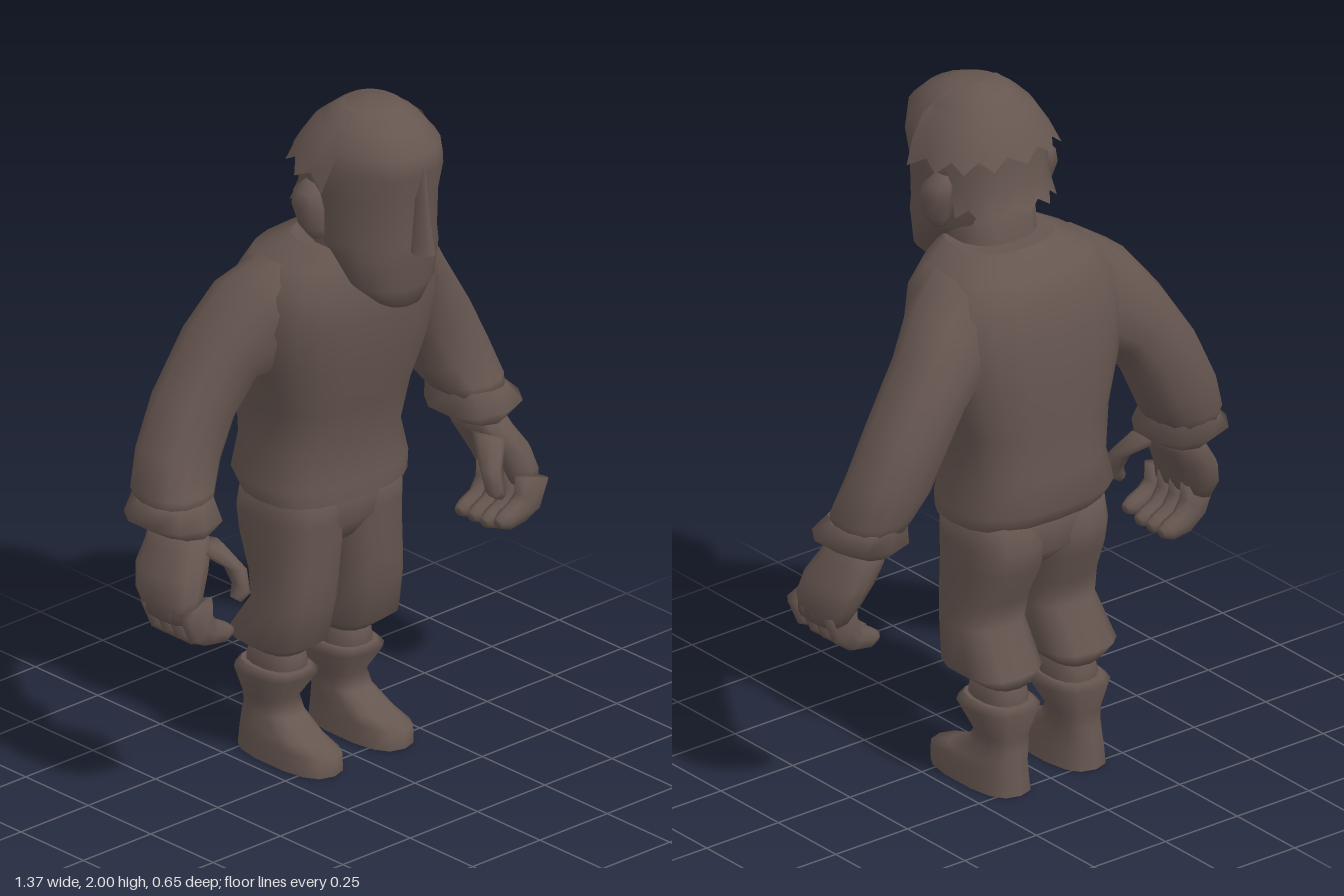
import * as THREE from 'three';

const cloth = new THREE.MeshStandardMaterial({ color: 0x665650, side: THREE.DoubleSide });
cloth.name = 'dark brown';

// Skin over rings listed base first: [outerX, outerY, innerX, innerY, zFront, zBack, frontLift]
function skin(name, rings, o = {}) {
  const { sides = 14, power = 0.85, taper = 0, arc = null, jag = 0, crisp = false } = o;
  const cols = arc ? sides + 1 : sides;
  const pos = [], idx = [];
  const curve = (v) => Math.sign(v) * Math.pow(Math.abs(v), power);
  rings.forEach(([xo, yo, xi, yi, zf, zb, lift = 0], i) => {
    for (let j = 0; j < cols; j++) {
      const t = arc ? arc[0] + ((arc[1] - arc[0]) * j) / sides : (j / sides) * Math.PI * 2;
      const v = curve(Math.cos(t));
      const u = curve(Math.sin(t)) * (1 - taper * Math.max(0, v));
      const tooth = i === 0 && j % 2 ? jag : 0;
      const k = 1 - tooth * 3;
      pos.push((xo + xi) / 2 + ((xo - xi) / 2) * u * k,
        (yo + yi) / 2 + ((yo - yi) / 2) * u + lift * v + tooth,
        (zf + zb) / 2 + ((zf - zb) / 2) * v * k);
    }
  });
  for (let i = 0; i < rings.length - 1; i++) {
    for (let j = 0; j < sides; j++) {
      const a = i * cols + j, b = i * cols + ((j + 1) % cols);
      idx.push(a, b, b + cols, a, b + cols, a + cols);
    }
  }
  // closed ends
  if (!arc) {
    [0, rings.length - 1].forEach((r, end) => {
      const [xo, yo, xi, yi, zf, zb] = rings[r];
      let base = r * cols;
      if (crisp) {
        const copy = pos.slice(base * 3, (base + cols) * 3);
        base = pos.length / 3;
        pos.push(...copy);
      }
      const c = pos.length / 3;
      pos.push((xo + xi) / 2, (yo + yi) / 2, (zf + zb) / 2);
      for (let j = 0; j < sides; j++) {
        const a = base + j, b = base + ((j + 1) % cols);
        if (end) idx.push(a, b, c); else idx.push(b, a, c);
      }
    });
  }
  const g = new THREE.BufferGeometry();
  g.setAttribute('position', new THREE.Float32BufferAttribute(pos, 3));
  g.setIndex(idx);
  g.computeVertexNormals();
  const mesh = new THREE.Mesh(g, cloth);
  mesh.name = name;
  return mesh;
}

// Symmetric ring from height, half width and depth range
const level = (y, w, zf, zb, lift = 0) => [w, y, -w, y, zf, zb, lift];
// Ring between two x values at one height
const across = (y, xo, xi, zf, zb, lift = 0) => [xo, y, xi, y, zf, zb, lift];
const flip = (rings) => rings.map(([xo, yo, xi, yi, ...rest]) => [-xi, yi, -xo, yo, ...rest]);

export function createModel() {
  const model = new THREE.Group();
  model.name = 'figure';

  // Shirt and pelvis
  model.add(skin('shirt', [
    level(0.80, 0.24, 0.055, -0.285), level(0.85, 0.25, 0.055, -0.32),
    level(0.95, 0.225, 0.045, -0.31), level(1.08, 0.24, 0.075, -0.31),
    level(1.22, 0.285, 0.11, -0.31), level(1.36, 0.31, 0.13, -0.30),
    level(1.46, 0.29, 0.13, -0.275), level(1.53, 0.24, 0.11, -0.24),
    level(1.575, 0.15, 0.1, -0.15),
  ], { sides: 20, power: 0.75, crisp: true }));
  model.add(skin('pelvis', [
    level(0.65, 0.13, -0.02, -0.22), level(0.71, 0.215, 0.02, -0.28), level(0.84, 0.22, 0.035, -0.28),
  ], { sides: 16, power: 0.75 }));

  // Neck and head
  model.add(skin('neck', [
    level(1.45, 0.15, 0.12, -0.14), level(1.58, 0.125, 0.13, -0.1), level(1.72, 0.125, 0.15, -0.09),
  ]));
  model.add(skin('head', [
    level(1.445, 0.075, 0.235, 0.14, -0.012), level(1.50, 0.135, 0.25, 0.08, -0.01),
    level(1.59, 0.16, 0.265, 0.0), level(1.63, 0.165, 0.268, -0.07),
    level(1.76, 0.175, 0.272, -0.11), level(1.84, 0.185, 0.288, -0.115),
    level(1.90, 0.165, 0.288, -0.09), level(1.955, 0.125, 0.23, -0.055),
    level(1.99, 0.075, 0.15, 0.0),
  ], { sides: 20, power: 0.82, taper: 0.2 }));
  model.add(skin('nose', [
    level(1.61, 0.034, 0.328, 0.24), level(1.64, 0.03, 0.322, 0.24),
    level(1.75, 0.02, 0.304, 0.24), level(1.86, 0.016, 0.292, 0.24),
  ], { sides: 8, taper: 0.4, crisp: true }));

  // Ragged hair: a crown tier over a nape tier
  const back = [Math.PI * 0.46, Math.PI * 1.54];
  model.add(skin('hairCrown', [
    level(1.795, 0.218, 0.29, -0.15, -0.03), level(1.86, 0.19, 0.29, -0.125, -0.01),
    level(1.93, 0.15, 0.26, -0.085), level(1.985, 0.085, 0.17, -0.015),
    level(2.0, 0.02, 0.1, 0.05),
  ], { sides: 16, arc: back, jag: 0.03 }));
  model.add(skin('hairNape', [
    level(1.665, 0.18, 0.24, -0.16, -0.015), level(1.74, 0.175, 0.25, -0.125),
    level(1.83, 0.18, 0.27, -0.12),
  ], { sides: 12, arc: [Math.PI * 0.62, Math.PI * 1.38], jag: 0.025 }));

  // Limbs and ears, left then mirrored to the right
  for (const side of ['left', 'right']) {
    const add = (part, rings, o) =>
      model.add(skin(side + part, side === 'left' ? rings : flip(rings), o));

    add('Ear', [
      across(1.625, 0.185, 0.14, 0.06, 0.01), across(1.66, 0.21, 0.14, 0.07, -0.01),
      across(1.72, 0.222, 0.14, 0.075, -0.03), across(1.76, 0.212, 0.14, 0.06, -0.03),
      across(1.785, 0.18, 0.14, 0.04, -0.01),
    ], { sides: 8 });

    add('Sleeve', [
      [0.63, 0.88, 0.46, 0.89, -0.01, -0.24], [0.645, 0.93, 0.425, 0.93, -0.03, -0.255],
      [0.61, 1.04, 0.385, 0.985, -0.055, -0.27], [0.54, 1.18, 0.335, 1.09, -0.055, -0.28],
      [0.425, 1.355, 0.275, 1.18, -0.035, -0.275], [0.33, 1.48, 0.21, 1.2, 0.02, -0.255],
      [0.235, 1.54, 0.1, 1.22, 0.06, -0.22],
    ]);
    add('SleeveCuff', [
      [0.615, 0.82, 0.475, 0.82, -0.005, -0.215], [0.685, 0.862, 0.43, 0.85, 0.015, -0.25],
      [0.64, 0.905, 0.45, 0.92, -0.015, -0.25],
    ], { sides: 10, crisp: true });

    // Hand with curled fingers
    add('Palm', [
      [0.67, 0.6, 0.575, 0.635, 0.05, -0.14], [0.685, 0.66, 0.56, 0.68, 0.045, -0.17],
      [0.668, 0.725, 0.53, 0.74, 0.035, -0.19], [0.63, 0.785, 0.5, 0.79, 0.01, -0.19],
      [0.605, 0.84, 0.49, 0.84, -0.02, -0.19],
    ], { sides: 12, power: 0.75 });
    [0.045, -0.01, -0.06, -0.11].forEach((z, i) => {
      const r = 0.027, f = z + r, b = z - r, s = i === 0 ? 0.015 : 0;
      add('Finger' + (i + 1), [
        [0.50, 0.52 + s, 0.495, 0.55 + s, f - 0.01, b + 0.01],
        [0.53, 0.508 + s, 0.515, 0.565 + s, f, b],
        [0.59, 0.515 + s, 0.55, 0.585 + s, f, b],
        [0.645, 0.555, 0.568, 0.62, f, b],
        [0.682, 0.635, 0.565, 0.67, f, b],
      ], { sides: 8 });
    });
    add('Thumb', [
      [0.505, 0.655, 0.48, 0.635, 0.08, 0.045], [0.493, 0.69, 0.45, 0.655, 0.09, 0.035],
      [0.505, 0.735, 0.447, 0.725, 0.075, 0.01], [0.56, 0.78, 0.485, 0.8, 0.03, -0.07],
    ], { sides: 8 });

    // Trouser leg, gathered below the knee
    add('Trouser', [
      across(0.315, 0.19, 0.055, -0.08, -0.265), across(0.36, 0.25, 0.01, -0.02, -0.29),
      across(0.48, 0.23, 0.015, 0.005, -0.21), across(0.56, 0.225, 0.01, 0.015, -0.23),
      across(0.66, 0.225, -0.005, 0.02, -0.275), across(0.73, 0.225, -0.005, 0.025, -0.29),
      across(0.83, 0.22, 0, 0.03, -0.27),
    ], { power: 0.75 });
    add('Stocking', [
      across(0.2, 0.18, 0.06, -0.1, -0.25), across(0.27, 0.19, 0.05, -0.08, -0.265),
      across(0.34, 0.18, 0.065, -0.09, -0.25),
    ]);

    // Boot
    add('Boot', [
      across(0, 0.212, 0.05, 0.07, -0.285), across(0.055, 0.208, 0.055, 0.07, -0.28),
      across(0.085, 0.2, 0.06, 0.0, -0.275, -0.01), across(0.125, 0.19, 0.06, -0.09, -0.27),
      across(0.165, 0.19, 0.06, -0.115, -0.268), across(0.245, 0.222, 0.022, -0.06, -0.288),
      across(0.265, 0.2, 0.045, -0.075, -0.275),
    ], { power: 0.75, crisp: true });
  }
  return model;
}
